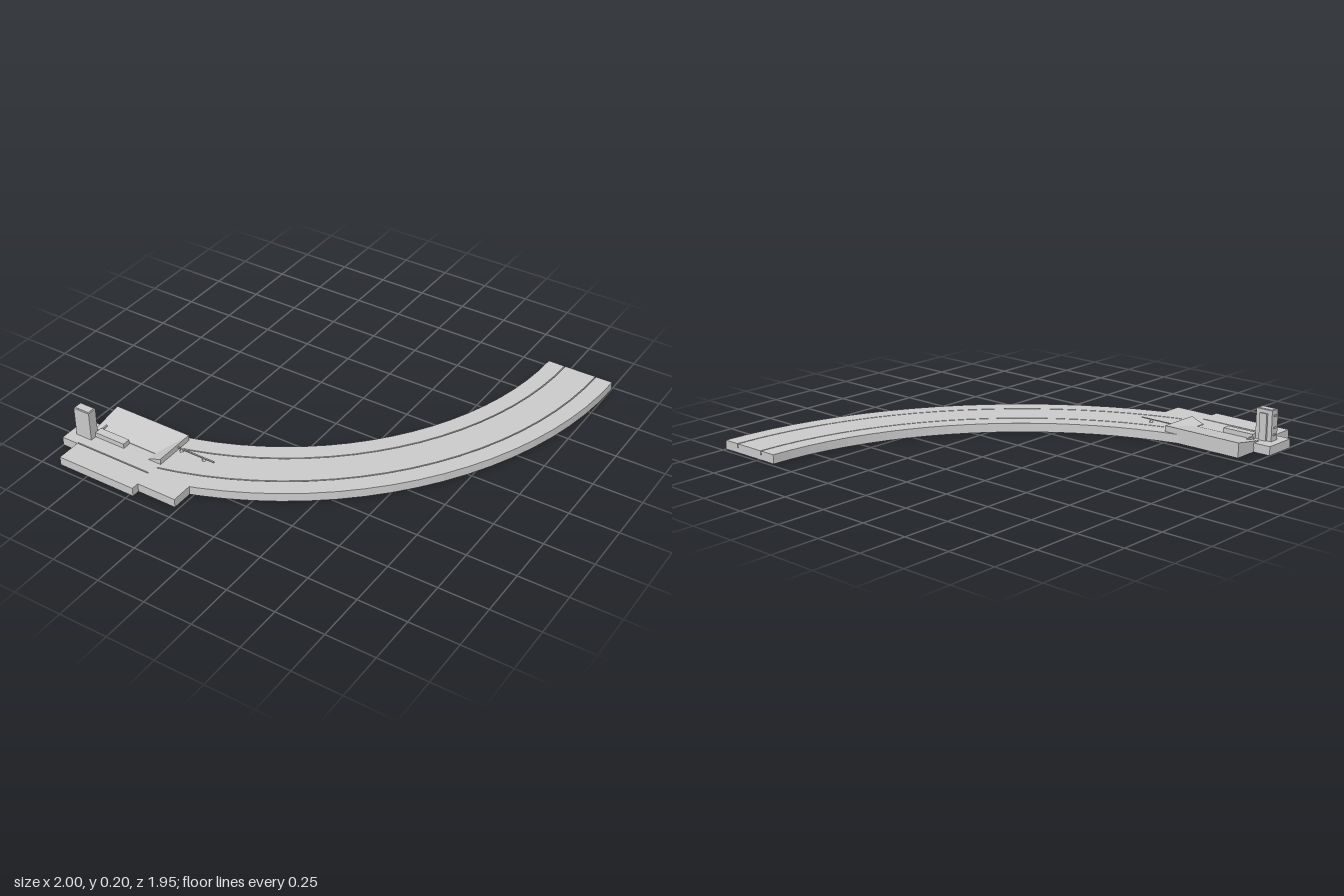
import * as THREE from 'three';

const TOP = 0.045, SLOT = 0.006, FLOOR = 0.025;
const CX = -0.91, CZ = -0.98; // centre of the bend
const mat = new THREE.MeshStandardMaterial({ color: 0xcccccc, flatShading: true, side: THREE.DoubleSide });

export function createModel() {
  const root = new THREE.Group();

  const add = (name, geo, parent = root) => {
    const m = new THREE.Mesh(geo, mat);
    m.name = name;
    parent.add(m);
    return m;
  };
  // box given by its limits
  const box = (name, x0, x1, y0, y1, z0, z1, parent) => {
    const m = add(name, new THREE.BoxGeometry(x1 - x0, y1 - y0, z1 - z0), parent);
    m.position.set((x0 + x1) / 2, (y0 + y1) / 2, (z0 + z1) / 2);
    return m;
  };
  // slab from a plan outline of [x, z] points
  const slab = (name, pts, y0, y1, parent) => {
    const shape = new THREE.Shape(pts.map(([x, z]) => new THREE.Vector2(x, z)));
    const geo = new THREE.ExtrudeGeometry(shape, { depth: y1 - y0, bevelEnabled: false });
    geo.rotateX(Math.PI / 2).translate(0, y1, 0);
    return add(name, geo, parent);
  };
  // curved band between two radii
  const band = (name, r0, r1, y0, y1, parent) => {
    const outer = [], inner = [], n = 20, end = THREE.MathUtils.degToRad(77);
    for (let i = 0; i <= n; i++) {
      const a = (end * i) / n, c = Math.cos(a), s = Math.sin(a);
      outer.push([CX + r1 * c, CZ + r1 * s]);
      inner.unshift([CX + r0 * c, CZ + r0 * s]);
    }
    return slab(name, [...outer, ...inner], y0, y1, parent);
  };

  // Curved track with two guide slots
  const track = new THREE.Group();
  track.name = 'curvedTrack';
  root.add(track);
  band('trackBase', 1.56, 1.91, 0, FLOOR, track);
  [[1.56, 1.65 - SLOT / 2], [1.65 + SLOT / 2, 1.82 - SLOT / 2], [1.82 + SLOT / 2, 1.91]]
    .forEach(([a, b]) => band('trackSurface', a, b, FLOOR, TOP, track));

  // Straight station plate, its slots in line with the track
  const plate = new THREE.Group();
  plate.name = 'stationPlate';
  root.add(plate);
  box('plateBase', -0.91, -0.48, 0, FLOOR, 0.54, 0.97, plate);
  [[0.54, 0.67 - SLOT / 2], [0.67 + SLOT / 2, 0.84 - SLOT / 2], [0.84 + SLOT / 2, 0.97]]
    .forEach(([a, b]) => box('plateSurface', -0.91, -0.48, FLOOR, TOP, a, b, plate));
  box('endTab', -1, -0.91, 0, TOP, 0.67, 0.845, plate);
  slab('sideApron', [[-0.48, 0.87], [-0.27, 0.81], [-0.27, 0.93], [-0.48, 0.93]], 0, TOP, plate);

  // Raised banks: one along the back, one across the right-hand end
  const wedge = (name, low, high, length) => {
    const s = new THREE.Shape([
      new THREE.Vector2(low, TOP), new THREE.Vector2(high, TOP),
      new THREE.Vector2(high, 0.075), new THREE.Vector2(low, TOP + 0.003)]);
    return add(name, new THREE.ExtrudeGeometry(s, { depth: length, bevelEnabled: false }));
  };
  wedge('endBank', -0.55, -0.48, 0.22).position.z = 0.54;
  const back = wedge('backBank', -0.71, -0.54, 0.43);
  back.rotation.y = Math.PI / 2; // profile runs along -z, length along +x
  back.position.x = -0.91;

  // Low kerb beside the tower
  box('kerb', -0.87, -0.7, TOP, 0.07, 0.715, 0.757);
  box('kerbPost', -0.876, -0.868, TOP, 0.06, 0.67, 0.715);

  // Tower with a back panel, a cap rim and small side studs
  const tower = new THREE.Group();
  tower.name = 'tower';
  root.add(tower);
  box('towerBody', -0.96, -0.87, TOP, 0.198, 0.74, 0.79, tower);
  box('towerBackPanel', -0.935, -0.895, TOP, 0.18, 0.73, 0.74, tower);
  box('towerCap', -0.953, -0.877, 0.198, 0.2, 0.747, 0.783, tower);
  for (const y of [0.07, 0.105, 0.165])
    box('towerStud', -0.964, -0.96, y, y + 0.01, 0.755, 0.775, tower);

  // Thin pointer rail on two little trestles
  const rail = new THREE.Group();
  rail.name = 'pointerRail';
  root.add(rail);
  box('railBar', -0.5, -0.27, 0.057, 0.061, 0.622, 0.629, rail);
  for (const x of [-0.46, -0.33]) {
    const foot = add('railTrestle', new THREE.CylinderGeometry(0.002, 0.012, 0.014, 4), rail);
    foot.position.set(x, TOP + 0.007, 0.6255);
  }
  return root;
}
